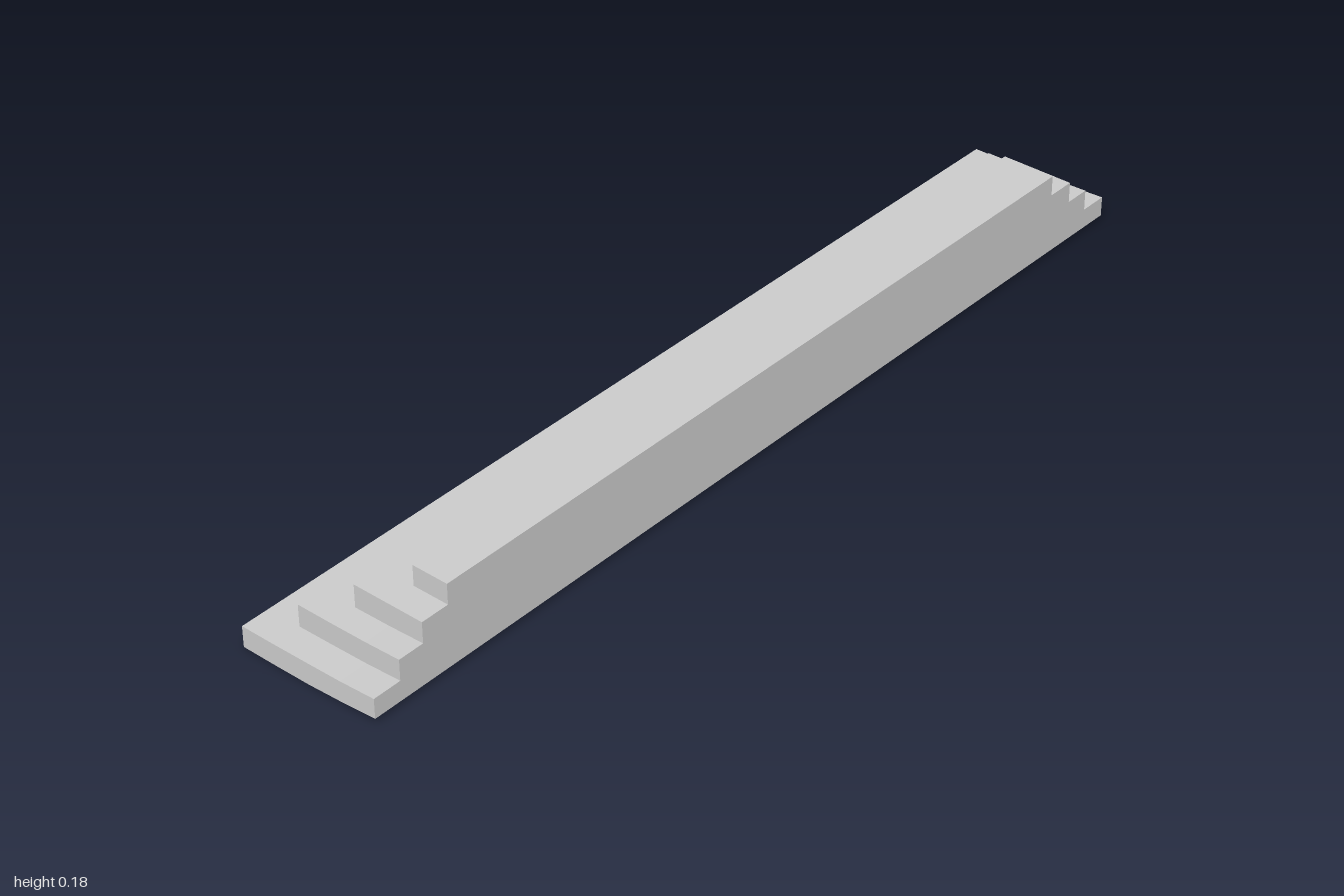
import * as THREE from 'three';

const FRONT = 0.152; // flat front plane shared by all steps

// Height curves [z, y] from front to back; each step sits on the one below
const ground = [[FRONT, 0.011], [0.075, 0.005], [0, 0.001], [-0.08, 0], [-0.152, 0]];
const tops = [
  [[FRONT, 0.052], [0.075, 0.0475], [-0.002, 0.0455], [-0.079, 0.044], [-0.152, 0.0435]],
  [[FRONT, 0.095], [0.075, 0.0915], [-0.002, 0.09], [-0.079, 0.0895]],
  [[FRONT, 0.138], [0.075, 0.1375], [-0.002, 0.137]],
  [[FRONT, 0.18], [0.075, 0.18]],
];
const halfWidths = [1, 0.94, 0.885, 0.825];

// Side profile between two height curves, extruded across x
function makeStep(bottom, top, halfWidth, material) {
  const back = top[top.length - 1][0];
  const under = bottom.filter(([z]) => z >= back - 0.001);
  const outline = [...under, ...[...top].reverse()];
  const shape = new THREE.Shape(outline.map(([z, y]) => new THREE.Vector2(z, y)));
  const geometry = new THREE.ExtrudeGeometry(shape, { depth: halfWidth * 2, bevelEnabled: false });
  geometry.translate(0, 0, -halfWidth);
  geometry.rotateY(-Math.PI / 2);
  return new THREE.Mesh(geometry, material);
}

export function createModel() {
  const group = new THREE.Group();
  group.name = 'steps';
  const material = new THREE.MeshStandardMaterial({ color: 0xcccccc, flatShading: true });
  const names = ['bottomStep', 'secondStep', 'thirdStep', 'topStep'];
  names.forEach((name, i) => {
    const step = makeStep(i ? tops[i - 1] : ground, tops[i], halfWidths[i], material);
    step.name = name;
    group.add(step);
  });
  return group;
}
